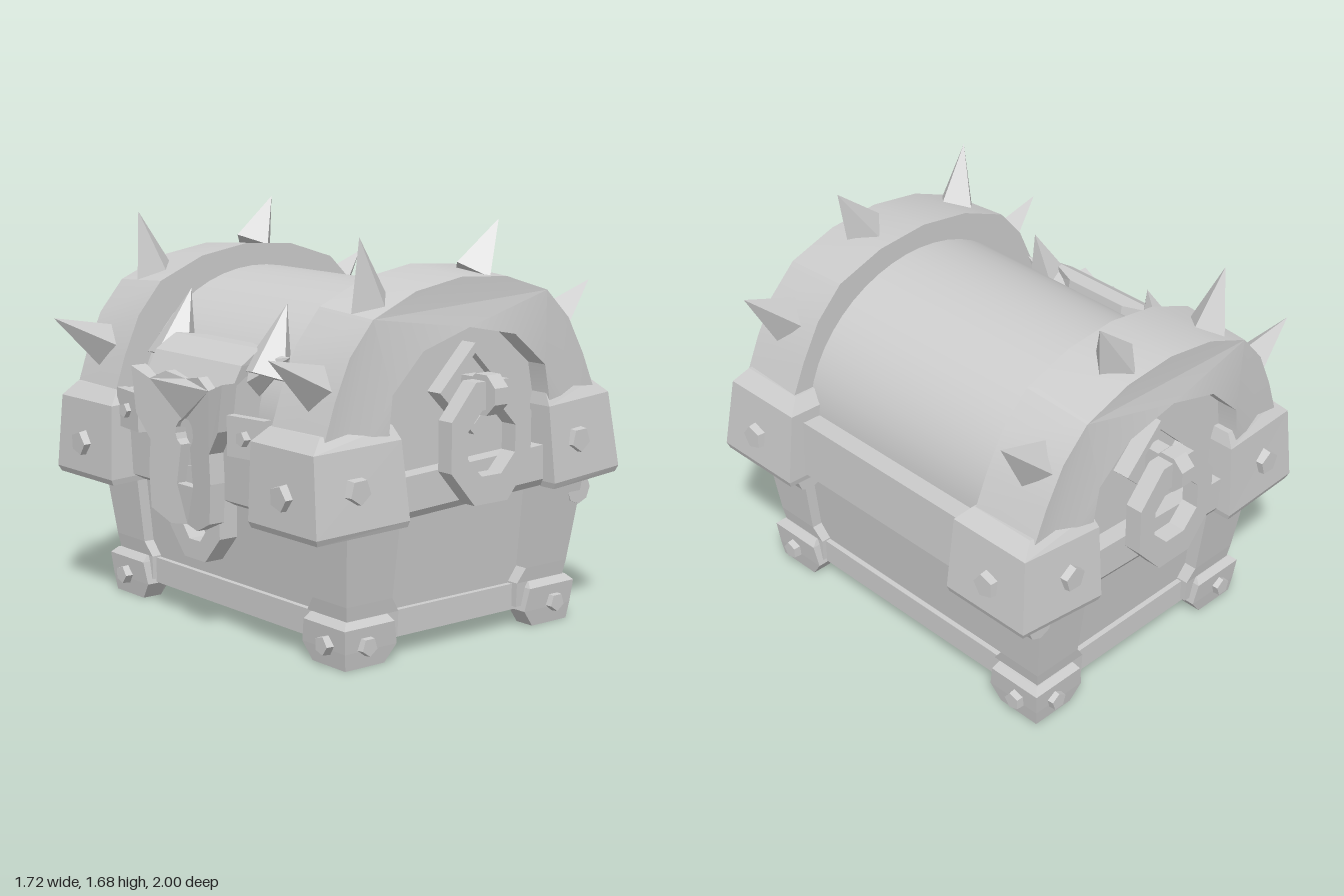
import * as THREE from 'three';
import { toCreasedNormals } from 'three/addons/utils/BufferGeometryUtils.js';

const metal = new THREE.MeshStandardMaterial({ color: 0xcccccc });
metal.name = 'pale grey';

function flat(geo) {
  const g = geo.index ? geo.toNonIndexed() : geo;
  g.computeVertexNormals();
  return g;
}

function add(parent, name, geo, x = 0, y = 0, z = 0) {
  const m = new THREE.Mesh(geo, metal);
  m.name = name;
  m.position.set(x, y, z);
  parent.add(m);
  return m;
}

// Solid through stacked sections, each { y, pts: [[x, z], ...] }
function stack(sections) {
  const pos = [], idx = [], n = sections[0].pts.length;
  for (const { y, pts } of sections) for (const [x, z] of pts) pos.push(x, y, z);
  const top = (sections.length - 1) * n;
  for (let l = 0; l < top; l += n) {
    for (let i = 0; i < n; i++) {
      const a = l + i, b = l + (i + 1) % n;
      idx.push(a, b, b + n, a, b + n, a + n);
    }
  }
  for (let i = 1; i < n - 1; i++) idx.push(0, i + 1, i, top, top + i, top + i + 1);
  const g = new THREE.BufferGeometry();
  g.setAttribute('position', new THREE.Float32BufferAttribute(pos, 3));
  g.setIndex(idx);
  return flat(g);
}

// Stacked rectangles, each [y, x0, x1, z0, z1]
const loft = (levels) => stack(levels.map(([y, a, b, c, d]) => ({ y, pts: [[a, d], [b, d], [b, c], [a, c]] })));

// Block for the +x +z corner, mirrored by signs; skew pulls the outer corner in, cut trims the hidden corner
function cornerBlock(levels, sx, sz, skew = 0, cut = 0) {
  return stack(levels.map(([y, a, b, c, d]) => {
    const inner = cut ? [[b - cut, c], [a, d - cut]] : [[a, c]];
    const pts = [[a, d], [b, d - skew], [b, c], ...inner].map(([x, z]) => [x * sx, z * sz]);
    return { y, pts: sx * sz > 0 ? pts : pts.reverse() };
  }));
}

const vecs = (pts) => pts.map(([x, y]) => new THREE.Vector2(x, y));
const shapeOf = (pts) => new THREE.Shape(vecs(pts));
const mirrored = (half) => [...half, ...half.slice().reverse().filter((p) => p[0] !== 0).map(([x, y]) => [-x, y])];
const extrude = (shape, depth, bevel = 0) => new THREE.ExtrudeGeometry(shape, {
  depth, bevelEnabled: bevel > 0, bevelSize: bevel, bevelThickness: bevel, bevelSegments: 1, curveSegments: 6 });

// Flat frame from an outer and an inner outline
function frame(outer, inner, depth) {
  const s = shapeOf(outer);
  s.holes.push(new THREE.Path(vecs(inner)));
  return extrude(s, depth);
}

const ngon = (n, rx, ry, turn = 0) => [...Array(n)].map((_, i) => {
  const t = (i + turn) * 2 * Math.PI / n;
  return [rx * Math.cos(t), ry * Math.sin(t)];
});
const rect = (x, y) => [[x, y], [-x, y], [-x, -y], [x, -y]];

// Five-sided stud facing along x or z
function stud(parent, r, axis, s, x, y, z) {
  const g = new THREE.CylinderGeometry(r * 0.85, r, 0.07, 5);
  if (axis === 'x') g.rotateZ(-s * Math.PI / 2); else g.rotateX(s * Math.PI / 2);
  add(parent, 'stud', flat(g), x, y, z);
}

// Pyramid from a base point to a tip
function spike(parent, name, base, tip, r, sides = 4) {
  const a = new THREE.Vector3(...base), d = new THREE.Vector3(...tip).sub(a);
  const h = d.length();
  const m = add(parent, name, flat(new THREE.ConeGeometry(r, h, sides).translate(0, h / 2, 0)), ...base);
  m.quaternion.setFromUnitVectors(new THREE.Vector3(0, 1, 0), d.normalize());
}

function buildBase() {
  const base = new THREE.Group();
  base.name = 'base';
  base.position.x = 0.05;
  add(base, 'box', loft([[0.12, -0.53, 0.53, -0.71, 0.71], [0.62, -0.58, 0.58, -0.76, 0.76]]));
  const sill = frame(rect(0.56, 0.74), rect(0.515, 0.695), 0.108);
  add(base, 'sill', sill.rotateX(-Math.PI / 2), 0, 0.075, 0);
  for (const sx of [1, -1]) for (const sz of [1, -1]) {
    add(base, 'cornerPost', cornerBlock([[0.09, 0.32, 0.58, 0.53, 0.765], [0.19, 0.32, 0.58, 0.53, 0.77],
      [0.25, 0.36, 0.59, 0.575, 0.78], [0.62, 0.36, 0.63, 0.58, 0.83]], sx, sz, 0, 0.1));
    add(base, 'foot', cornerBlock([[0, 0.4, 0.595, 0.58, 0.78], [0.07, 0.345, 0.605, 0.53, 0.79],
      [0.165, 0.365, 0.615, 0.55, 0.8], [0.19, 0.38, 0.59, 0.56, 0.775]], sx, sz, 0, 0.09));
    stud(base, 0.045, 'z', sz, sx * 0.505, 0.09, sz * 0.785);
    stud(base, 0.045, 'x', sx, sx * 0.605, 0.09, sz * 0.685);
  }
  // hinges along the hinge side
  for (const sz of [1, -1]) {
    const knuckle = flat(new THREE.CylinderGeometry(0.065, 0.065, 0.28, 8).rotateX(Math.PI / 2));
    add(base, 'hingeKnuckle', knuckle, 0.615, 0.555, sz * 0.68);
    add(base, 'hingeLeaf', new THREE.BoxGeometry(0.09, 0.08, 0.22), 0.62, 0.58, sz * 0.68);
  }
  return base;
}

function buildHandle(sz) {
  const h = new THREE.Group();
  h.name = 'ringHandle';
  h.position.x = 0.045;
  if (sz < 0) h.rotation.y = Math.PI;
  // diamond mount
  add(h, 'diamondFrame', frame(ngon(4, 0.18, 0.18), ngon(4, 0.14, 0.14), 0.1), 0, 1.04, 0.75);
  add(h, 'diamondPlate', extrude(shapeOf(ngon(4, 0.14, 0.14)), 0.06), 0, 1.04, 0.75);
  add(h, 'ring', frame(ngon(8, 0.227, 0.26, 0.5), ngon(8, 0.135, 0.14, 0.5), 0.075), 0, 0.845, 0.875);
  // loop holding the ring
  const loop = flat(new THREE.CylinderGeometry(0.085, 0.085, 0.07, 8).rotateZ(Math.PI / 2).rotateX(Math.PI / 8));
  add(h, 'loop', loop, 0, 1.03, 0.92);
  add(h, 'loopShank', new THREE.BoxGeometry(0.07, 0.11, 0.16), 0, 1.04, 0.84);
  return h;
}

function buildLid() {
  const lid = new THREE.Group();
  lid.name = 'lid';
  lid.position.set(0.03, 0.583, 0);
  lid.rotation.z = 0.047;
  // smooth barrel
  const arc = [[0.61, 0.05]];
  for (let i = 0; i <= 24; i++) {
    const a = i / 24 * Math.PI;
    arc.push([0.61 * Math.cos(a), 0.27 + 0.55 * Math.sin(a)]);
  }
  arc.push([-0.61, 0.05]);
  add(lid, 'barrel', toCreasedNormals(extrude(shapeOf(arc), 1.55), 0.6), 0.02, 0, -0.775);
  add(lid, 'sideRim', loft([[0, -0.64, 0.65, -0.6, 0.6], [0.03, -0.69, 0.715, -0.6, 0.6], [0.28, -0.69, 0.715, -0.6, 0.6]]));
  add(lid, 'endRim', loft([[0, -0.5, 0.5, -0.83, 0.83], [0.03, -0.5, 0.5, -0.85, 0.85], [0.17, -0.5, 0.5, -0.85, 0.85]]));
  // arched bands at both ends, end face leaning in towards the outer edge
  const outer = mirrored([[0.72, 0.05], [0.718, 0.37], [0.66, 0.52], [0.58, 0.68], [0.46, 0.81], [0.24, 0.892], [0, 0.92]]);
  const inner = mirrored([[0.42, 0.05], [0.42, 0.37], [0.4, 0.5], [0.24, 0.645], [0, 0.705]]).reverse();
  for (const sz of [1, -1]) {
    const g = extrude(shapeOf([...outer, ...inner]), 0.34);
    const p = g.attributes.position;
    for (let i = 0; i < p.count; i++) {
      if (p.getZ(i) < 0.1) continue;
      const x = p.getX(i), y = p.getY(i);
      if (Math.hypot(x / 0.72, (y - 0.37) / 0.55) > 0.9) p.setXYZ(i, x * 0.985, y * 0.975, 0.305);
    }
    const m = add(lid, 'archBand', toCreasedNormals(g, 0.35), 0, 0, sz * 0.53);
    if (sz < 0) m.rotation.y = Math.PI;
    // spikes over the arch
    const spikes = [[-0.61, 0.53, -0.87, 0.685], [-0.36, 0.8, -0.42, 1.085], [0.17, 0.88, 0.296, 1.082], [0.59, 0.62, 0.797, 0.78]];
    for (const [bx, by, tx, ty] of spikes) spike(lid, 'spike', [bx, by, sz * 0.71], [tx, ty, sz * 0.73], 0.1);
    for (const sx of [1, -1]) {
      const e = sx > 0 ? 0.01 : -0.02;
      add(lid, 'cornerBracket', cornerBlock([[-0.005, 0.395 + e, 0.79, 0.475, 0.905], [0.02, 0.39 + e, 0.8, 0.47, 0.915],
        [0.33, 0.395 + e, 0.775, 0.475, 0.885], [0.385, 0.41 + e, 0.715, 0.52, 0.85]], sx, sz, 0.03));
      stud(lid, 0.06, 'z', sz, sx * 0.58 - 0.025, 0.175, sz * 0.88);
      stud(lid, 0.06, 'x', sx, sx * 0.785, 0.15, sz * 0.685);
    }
  }
  return lid;
}

function buildLock() {
  const lock = new THREE.Group();
  lock.name = 'lock';
  // shield plate with keyhole, local x runs along z
  const plate = shapeOf(mirrored([[0, 0.46], [0.09, 0.45], [0.2, 0.5], [0.21, 0.66], [0.2, 0.78], [0.28, 0.88],
    [0.31, 1.07], [0.2, 1.03], [0.11, 1.07], [0, 1.05]]));
  const hole = new THREE.Path();
  hole.moveTo(0.03, 0.78);
  hole.lineTo(0.055, 0.62);
  hole.lineTo(-0.055, 0.62);
  hole.lineTo(-0.03, 0.78);
  hole.absarc(0, 0.83, 0.06, Math.PI * 1.3, -Math.PI * 0.3, true);
  plate.holes.push(hole);
  // the face is dished: its middle sits further back than its sides
  const face = extrude(plate, 0.07);
  const p = face.attributes.position;
  for (let i = 0; i < p.count; i++) p.setZ(i, p.getZ(i) - 0.05 * Math.max(0, 1 - Math.abs(p.getX(i)) / 0.28));
  const shield = add(lock, 'shield', flat(face), -0.7, 0, 0);
  shield.rotation.y = -Math.PI / 2;
  add(lock, 'keyholeBack', new THREE.BoxGeometry(0.12, 0.45, 0.34), -0.62, 0.78, 0);
  const ring = add(lock, 'hangingRing', frame(ngon(8, 0.184, 0.205, 0.5), ngon(8, 0.097, 0.12, 0.5), 0.085), -0.6, 0.5, 0);
  ring.rotation.y = -Math.PI / 2;
  // crest sloping onto the lid, narrower at the back
  const crest = (y, f, b) => ({ y, pts: [[f, 0.29], [-0.55, 0.27], [b, 0.15], [b, -0.15], [-0.55, -0.27], [f, -0.29]] });
  add(lock, 'crest', stack([crest(0.85, -0.71, -0.53), crest(1.04, -0.71, -0.51), crest(1.13, -0.66, -0.49), crest(1.19, -0.57, -0.5)]));
  for (const s of [1, -1]) {
    // horns, side arms and studs
    spike(lock, 'hornRoot', [-0.56, 1.07, s * 0.2], [-0.54, 1.17, s * 0.44], 0.11, 6);
    spike(lock, 'horn', [-0.56, 1.08, s * 0.32], [-0.46, 1.36, s * 0.32], 0.11, 5);
    const arm = add(lock, 'sideArm', new THREE.BoxGeometry(0.04, 0.16, 0.2), -0.71, 0.87, s * 0.4);
    arm.rotation.y = s * 0.15;
    stud(lock, 0.035, 'x', -1, -0.72, 0.87, s * 0.4);
  }
  return lock;
}

export function createModel() {
  const chest = new THREE.Group();
  chest.name = 'chest';
  chest.add(buildBase(), buildLid(), buildHandle(1), buildHandle(-1), buildLock());
  return chest;
}
